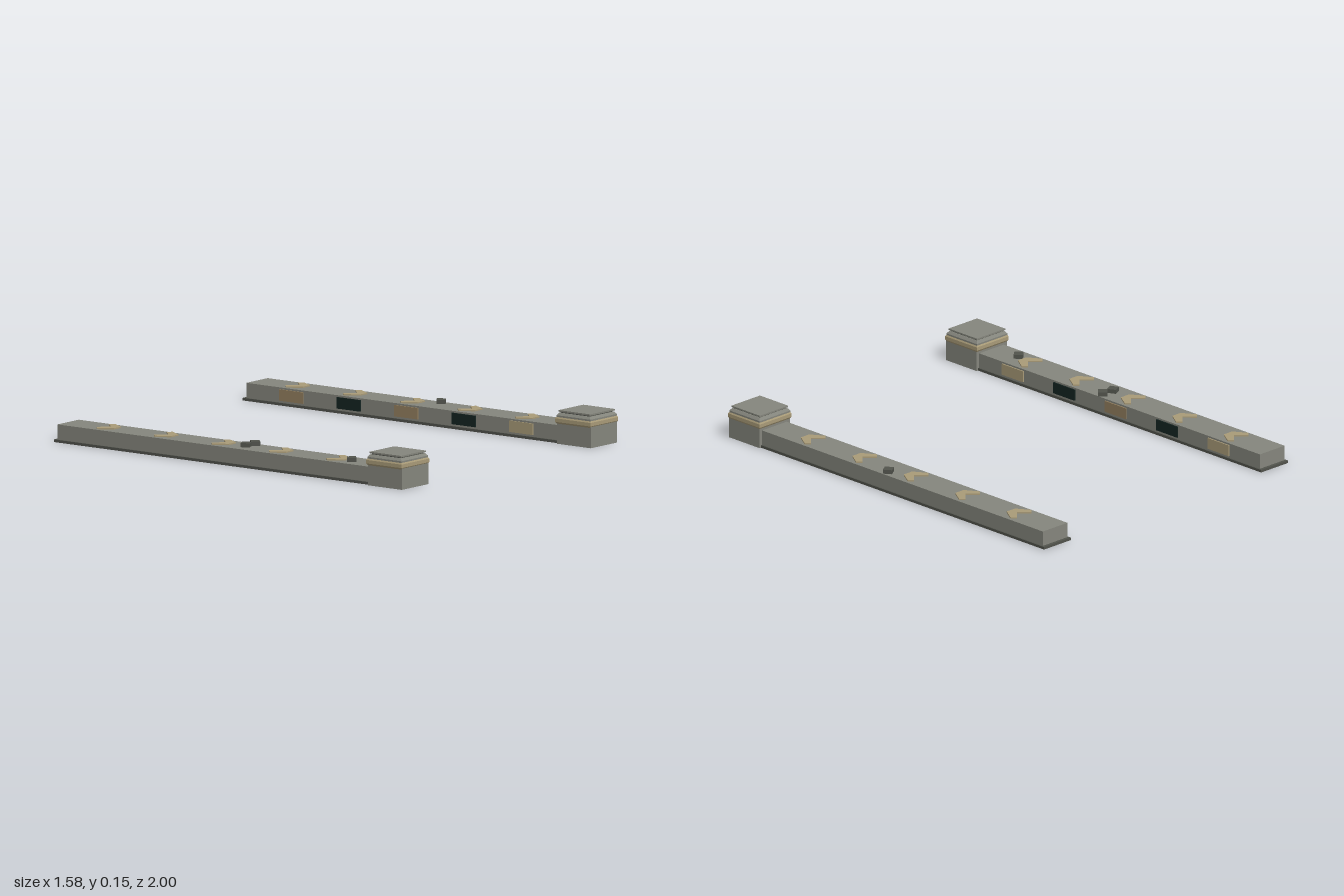
import * as THREE from 'three';

const mat = (name, color) => {
  const m = new THREE.MeshStandardMaterial({ color });
  m.name = name;
  return m;
};

export function createModel() {
  const stone = mat('stone grey', 0x85867d);
  const darkStone = mat('dark stone', 0x51534c);
  const sand = mat('sand trim', 0xa99b78);
  const brown = mat('weathered brown', 0x94805f);
  const dark = mat('dark recess', 0x142421);

  const add = (parent, name, geometry, material, x = 0, y = 0, z = 0) => {
    const mesh = new THREE.Mesh(geometry, material);
    mesh.name = name;
    mesh.position.set(x, y, z);
    parent.add(mesh);
    return mesh;
  };
  const box = (parent, name, material, w, h, d, x, y, z) =>
    add(parent, name, new THREE.BoxGeometry(w, h, d), material, x, y, z);

  // Square stacked profile given as [half width, height] pairs, bottom to top
  const squareProfile = (pairs) => {
    const pts = pairs.map(([r, y]) => new THREE.Vector2(r * Math.SQRT2, y));
    const g = new THREE.LatheGeometry(pts, 4, Math.PI / 4).toNonIndexed();
    g.computeVertexNormals();
    return g;
  };

  // V-shaped floor marker pointing to the front
  const v = new THREE.Shape();
  [[-0.066, 0.022], [-0.046, 0.042], [0, -0.004], [0.046, 0.042], [0.066, 0.022],
    [0.026, -0.042], [-0.026, -0.042]]
    .forEach(([x, y], i) => (i ? v.lineTo(x, y) : v.moveTo(x, y)));
  const chevron = new THREE.ExtrudeGeometry(v, { depth: 0.007, bevelEnabled: false });
  chevron.rotateX(-Math.PI / 2);

  const model = new THREE.Group();
  model.name = 'gateWalls';

  for (const side of [-1, 1]) {
    const wall = new THREE.Group();
    wall.name = side < 0 ? 'rightWall' : 'leftWall';
    wall.position.x = side * 0.687;
    model.add(wall);

    // Long low wall on a thin plinth
    box(wall, 'plinth', darkStone, 0.17, 0.012, 1.81, 0, 0.006, -0.095);
    box(wall, 'wallBody', stone, 0.156, 0.069, 1.8, 0, 0.0465, -0.085);

    // Markers on top, panels on the inner face
    for (let i = 0; i < 5; i++) {
      const z = -0.745 + i * 0.328;
      add(wall, 'chevron', chevron, sand, 0, 0.08, z);
      const panelMat = i % 2 ? dark : (i === 2 || (side > 0 && i === 0) ? brown : sand);
      box(wall, 'sidePanel', panelMat, 0.008, 0.052, 0.135, -side * 0.08, 0.047, z + 0.02);
    }

    // Front post with trim band and layered cap
    const post = new THREE.Group();
    post.name = 'post';
    post.position.set(-0.002, 0, 0.899);
    wall.add(post);
    box(post, 'postBody', stone, 0.192, 0.096, 0.194, 0, 0.048, 0.002);
    add(post, 'trimBand', squareProfile([[0, 0.092], [0.096, 0.092], [0.101, 0.1],
      [0.101, 0.116], [0.096, 0.124], [0, 0.124]]), sand);
    add(post, 'capBase', squareProfile([[0, 0.122], [0.097, 0.122], [0.097, 0.13],
      [0.088, 0.141], [0, 0.141]]), stone);
    box(post, 'capNeck', darkStone, 0.166, 0.008, 0.166, 0, 0.144, 0);
    box(post, 'capSlab', stone, 0.18, 0.007, 0.18, 0, 0.1495, 0);
  }

  // Loose stones lying on the walls: x, z, turn
  for (const [x, z, turn] of [[-0.695, 0.038, 0.45], [-0.638, 0.045, 0.8],
    [-0.701, 0.645, 0.7], [0.733, 0.031, 0.6]]) {
    const s = box(model, 'looseStone', darkStone, 0.042, 0.02, 0.042, x, 0.09, z);
    s.rotation.y = turn;
  }
  return model;
}
